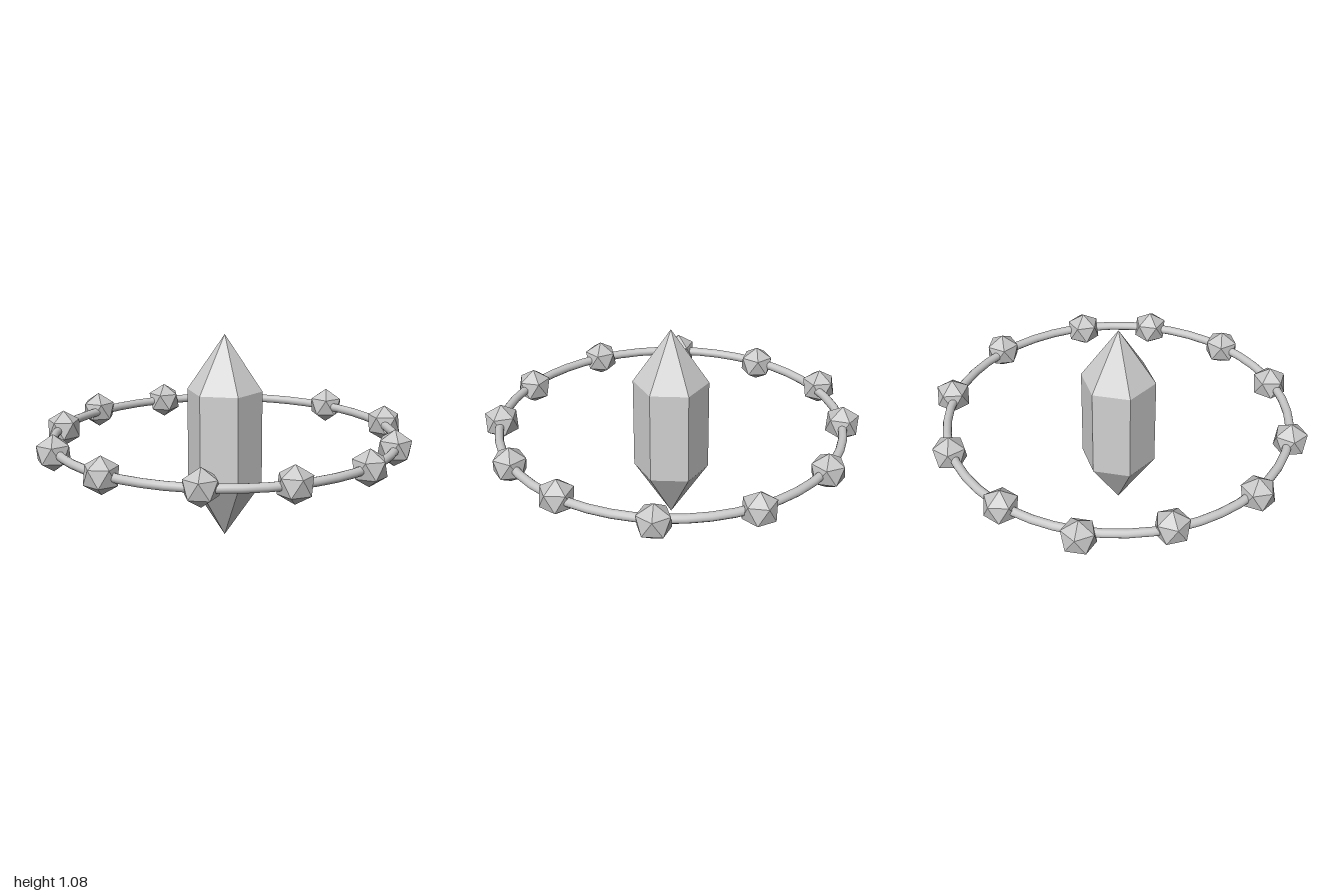
import * as THREE from 'three';

export function createModel() {
  const model = new THREE.Group();
  const crystalGrey = new THREE.MeshStandardMaterial({ color: 0xd2d2d2, flatShading: true });
  crystalGrey.name = 'crystal grey';
  const ringGrey = new THREE.MeshStandardMaterial({ color: 0xc8c8c8 });
  ringGrey.name = 'ring grey';
  const beadGrey = new THREE.MeshStandardMaterial({ color: 0xc8c8c8, flatShading: true });
  beadGrey.name = 'bead grey';

  const cx = 0.017, ringY = 0.542;
  const add = (name, geometry, material, x, y, z) => {
    const mesh = new THREE.Mesh(geometry, material);
    mesh.name = name;
    mesh.position.set(x, y, z);
    model.add(mesh);
    return mesh;
  };

  // Six-sided crystal, pointed at both ends
  const profile = [[0, 0], [0.197, 0.295], [0.197, 0.79], [0, 1.083]]
    .map(([r, y]) => new THREE.Vector2(r, y));
  add('crystal', new THREE.LatheGeometry(profile, 6), crystalGrey, cx, 0, 0);

  // Thin ring around the crystal
  const ring = new THREE.TorusGeometry(0.893, 0.023, 12, 48);
  ring.rotateX(Math.PI / 2);
  add('ring', ring, ringGrey, cx, ringY, 0);

  // Twelve faceted beads, unevenly placed, one corner up and one facing outward
  const bead = new THREE.IcosahedronGeometry(0.096, 0);
  bead.rotateX(-Math.atan((1 + Math.sqrt(5)) / 2));
  const spots = [
    [0.02, -0.91], [0.5, -0.776], [0.815, -0.381], [0.91, -0.005],
    [0.795, 0.432], [0.496, 0.739], [0.02, 0.899], [-0.433, 0.787],
    [-0.753, 0.424], [-0.91, 0.013], [-0.785, -0.4], [-0.453, -0.768],
  ];
  spots.forEach(([x, z], i) => {
    add(`bead${i + 1}`, bead, beadGrey, x, ringY, z).rotation.y = Math.atan2(x - cx, z);
  });
  return model;
}
